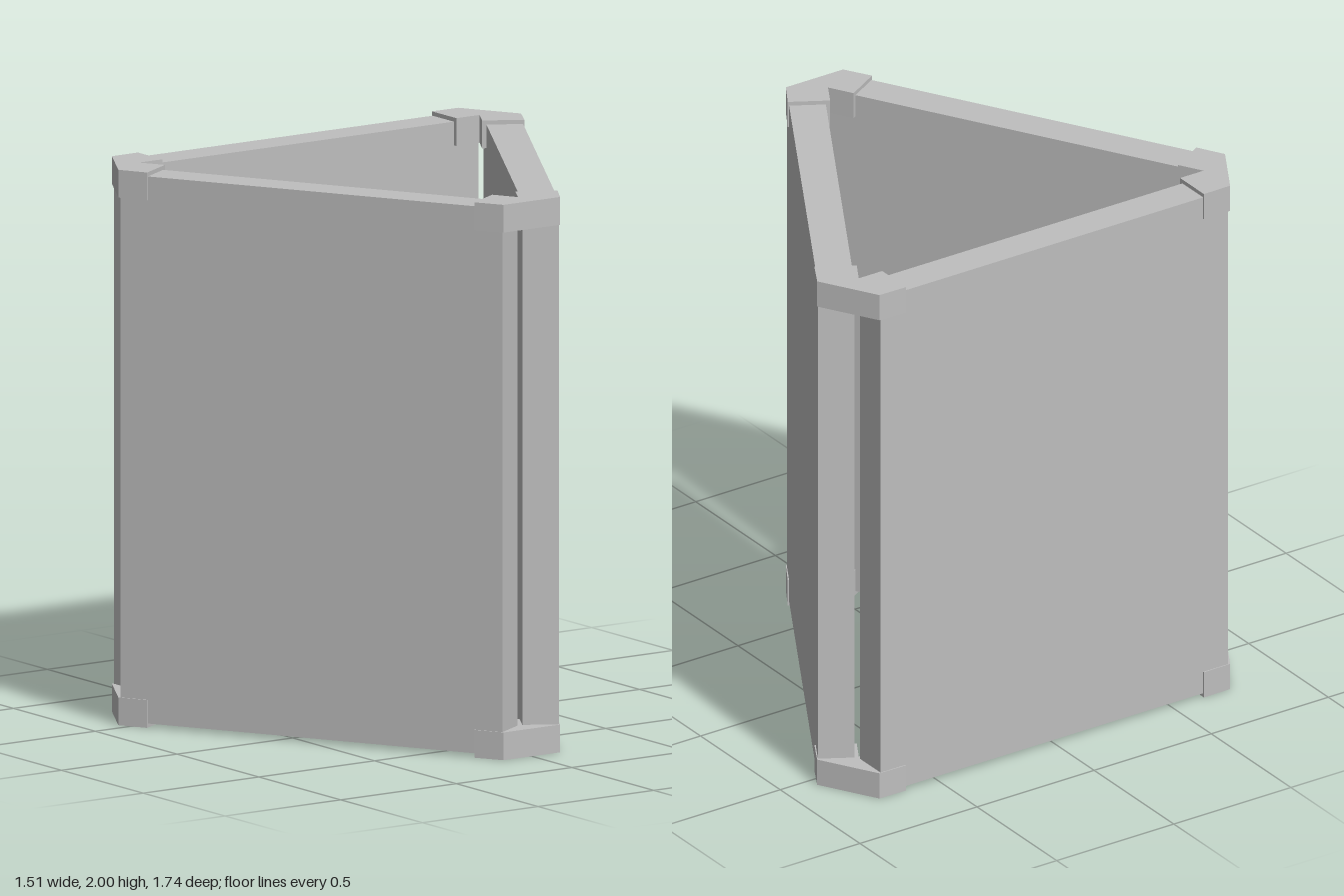
import * as THREE from 'three';

// Open triangular tube: three thick panels joined by angled corner clips.
export function createModel() {
  const model = new THREE.Group();
  model.name = 'triangularTube';
  const grey = new THREE.MeshStandardMaterial({ color: 0xbebebe });
  grey.name = 'grey';

  const ring = new THREE.Group(); // threefold symmetric about its own axis
  ring.name = 'panelRing';
  ring.position.x = -0.18;
  model.add(ring);

  // Corner clip outline, pointing along +x
  const half = [[0.935, 0.122], [0.838, 0.18], [0.763, 0.05]];
  const outline = [
    ...half,
    [0.85, 0],
    ...half.map(([x, y]) => [x, -y]).reverse(),
  ].map(([x, y]) => new THREE.Vector2(x, y));
  const clipGeometry = new THREE.ExtrudeGeometry(new THREE.Shape(outline), {
    depth: 0.1, bevelEnabled: false,
  });
  clipGeometry.rotateX(-Math.PI / 2);

  // Panel whose outer face looks along -x
  const panelGeometry = new THREE.BoxGeometry(0.13, 1.97, 1.484);
  panelGeometry.translate(-0.505, 1, 0);

  const add = (geometry, name, angle, y = 0) => {
    const mesh = new THREE.Mesh(geometry, grey);
    mesh.name = name;
    mesh.rotation.y = angle;
    mesh.position.y = y;
    ring.add(mesh);
  };

  for (let i = 0; i < 3; i++) {
    const angle = (i * 2 * Math.PI) / 3;
    add(panelGeometry, 'panel', angle);
    add(clipGeometry, 'bottomClip', angle, 0);
    add(clipGeometry, 'topClip', angle, 1.9);
  }
  return model;
}
